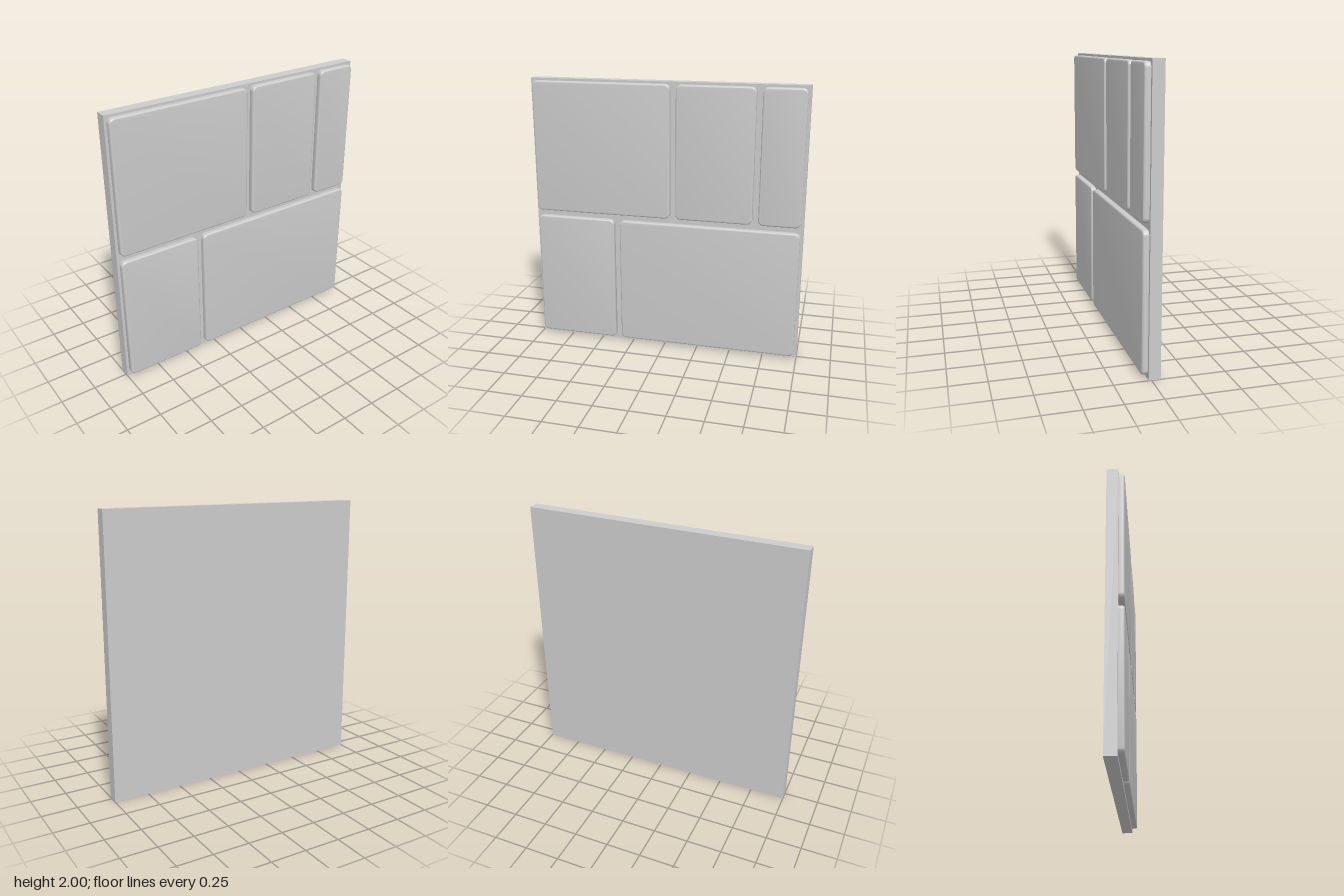
import * as THREE from 'three';
import { toCreasedNormals } from 'three/addons/utils/BufferGeometryUtils.js';

const material = new THREE.MeshStandardMaterial({ color: 0xcccccc });
const BACK = -0.06, FACE = 0.02, FRONT = 0.06; // z levels of slab and tiles
const BEVEL = 0.012, RADIUS = 0.036;

// Rounded rectangle running counter-clockwise
function roundedRect(x0, y0, x1, y1, r) {
  const s = new THREE.Shape();
  s.absarc(x1 - r, y0 + r, r, -Math.PI / 2, 0);
  s.absarc(x1 - r, y1 - r, r, 0, Math.PI / 2);
  s.absarc(x0 + r, y1 - r, r, Math.PI / 2, Math.PI);
  s.absarc(x0 + r, y0 + r, r, Math.PI, Math.PI * 1.5);
  s.closePath();
  return s;
}

// Raised tile with a rounded front edge; its rear bevel is sunk in the slab
function makeTile(x0, x1, y0, y1) {
  const b = BEVEL;
  const shape = roundedRect(x0 + b, y0 + b, x1 - b, y1 - b, RADIUS - b);
  const start = FACE - b;
  const geometry = new THREE.ExtrudeGeometry(shape, {
    depth: FRONT - b - start,
    bevelSize: b,
    bevelThickness: b,
    bevelSegments: 4,
    curveSegments: 6,
  });
  geometry.translate(0, 0, start);
  return new THREE.Mesh(toCreasedNormals(geometry, 0.6), material);
}

export function createModel() {
  const group = new THREE.Group();
  group.name = 'tiledPanel';

  // Backing slab
  const slab = new THREE.Mesh(new THREE.BoxGeometry(2, 2, FACE - BACK), material);
  slab.position.set(0, 1, (FACE + BACK) / 2);
  slab.name = 'backingSlab';
  group.add(slab);

  // Two rows of tiles: height range and the x range of each tile
  const rows = [
    { name: 'upperTile', y: [1.016, 1.984], spans: [[-0.982, 0.04], [0.083, 0.64], [0.683, 0.98]] },
    { name: 'lowerTile', y: [0.024, 0.974], spans: [[-0.982, -0.384], [-0.34, 0.98]] },
  ];
  for (const row of rows) {
    row.spans.forEach(([x0, x1], i) => {
      const tile = makeTile(x0, x1, ...row.y);
      tile.name = `${row.name}${i + 1}`;
      group.add(tile);
    });
  }
  return group;
}
